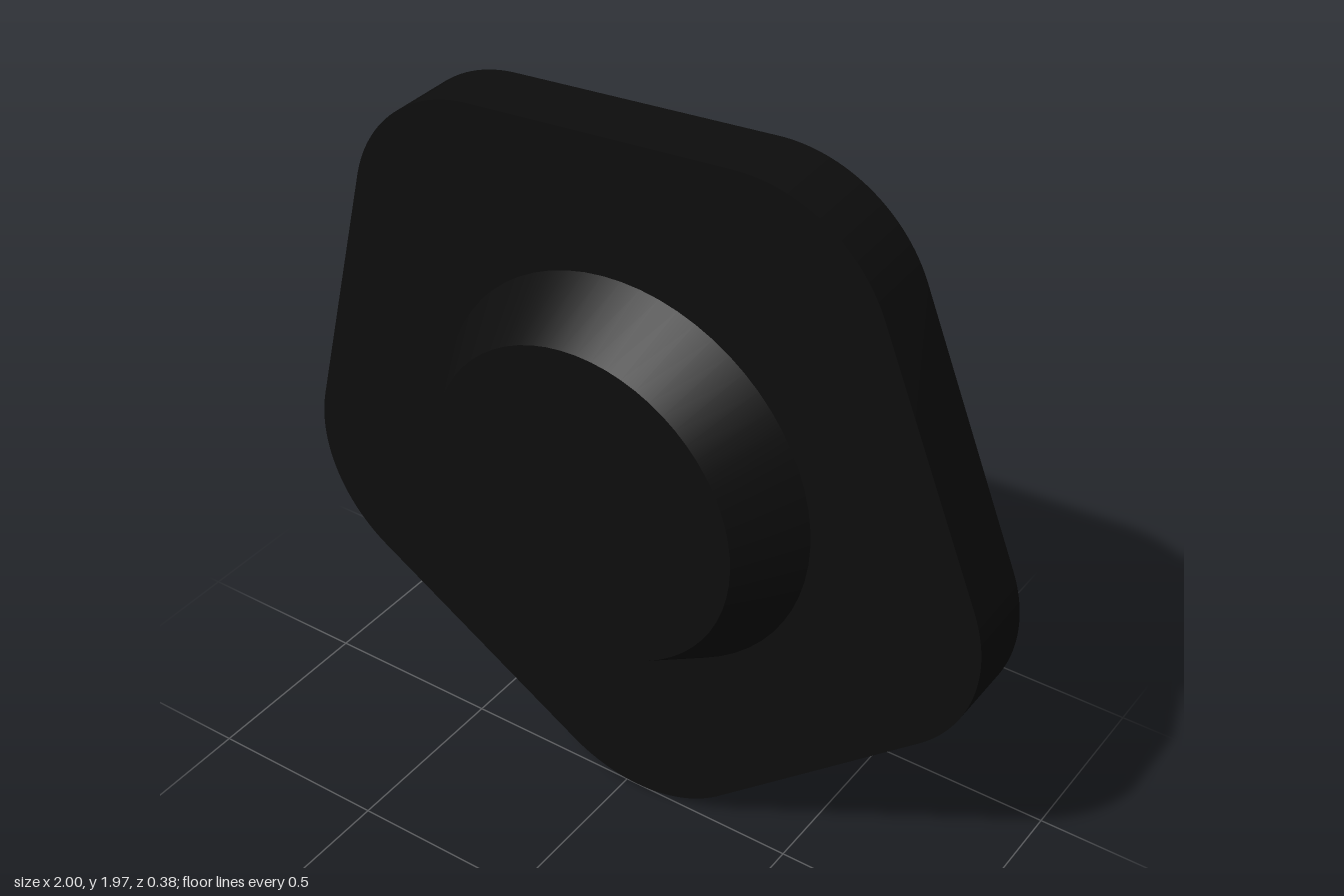
import * as THREE from 'three';
import { toCreasedNormals } from 'three/addons/utils/BufferGeometryUtils.js';

const CENTRE = { x: -0.017, y: 1.033 };
const CORNER_DISTANCE = 0.633; // centre to each corner arc's centre
const CORNER_RADIUS = 0.402;
const TURN = THREE.MathUtils.degToRad(4.5);

// Pentagon with round corners, one corner pointing nearly straight down
function roundedPentagon() {
  const shape = new THREE.Shape();
  for (let i = 0; i < 5; i++) {
    const a = -Math.PI / 2 + TURN + (i * Math.PI * 2) / 5;
    shape.absarc(
      Math.cos(a) * CORNER_DISTANCE, Math.sin(a) * CORNER_DISTANCE,
      CORNER_RADIUS, a - Math.PI / 5, a + Math.PI / 5, false
    );
  }
  shape.closePath();
  return shape;
}

export function createModel() {
  const black = new THREE.MeshStandardMaterial({ color: 0x0d0d0d });
  black.name = 'black';

  const model = new THREE.Group();
  model.name = 'pentagonKnob';

  // Flat plate behind z = 0
  const plateGeometry = new THREE.ExtrudeGeometry(roundedPentagon(), {
    depth: 0.19, bevelEnabled: false, curveSegments: 16,
  });
  plateGeometry.translate(0, 0, -0.19);
  const plate = new THREE.Mesh(toCreasedNormals(plateGeometry, 0.5), black);
  plate.name = 'plate';

  // Tapered round boss on the front
  const bossGeometry = new THREE.CylinderGeometry(0.44, 0.547, 0.185, 64);
  bossGeometry.rotateX(Math.PI / 2).translate(0, 0, 0.0925);
  const boss = new THREE.Mesh(bossGeometry, black);
  boss.name = 'boss';

  for (const part of [plate, boss]) {
    part.position.set(CENTRE.x, CENTRE.y, 0);
    model.add(part);
  }
  return model;
}
